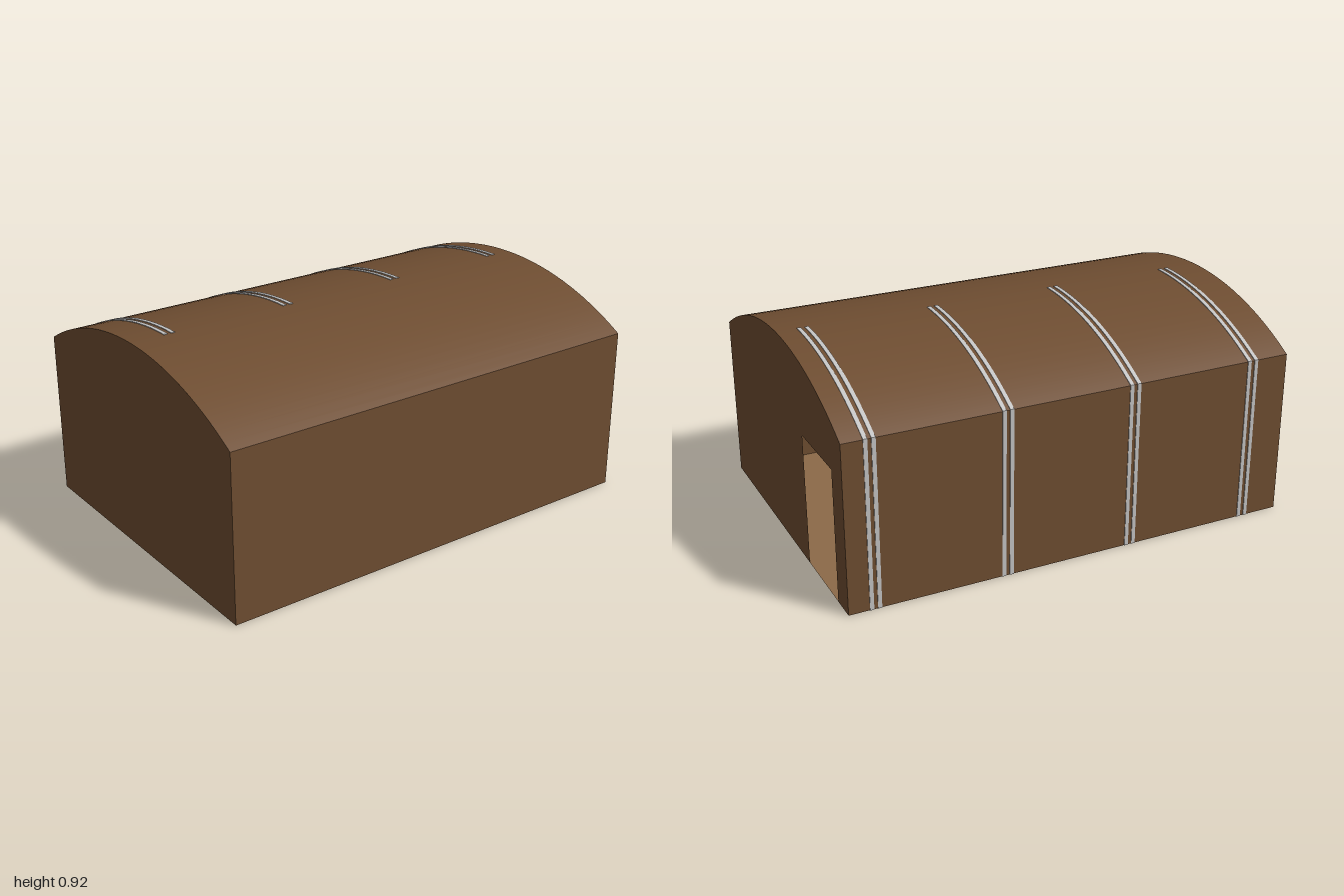
import * as THREE from 'three';

const HALF_L = 1, HALF_W = 0.713, EAVE = 0.727, RIDGE = 0.921;
const SAG = RIDGE - EAVE;
const R = (HALF_W ** 2 + SAG ** 2) / (2 * SAG);
const roofY = (z) => RIDGE - R + Math.sqrt(R * R - z * z);

const brown = new THREE.MeshStandardMaterial({ color: 0x6e4d31, side: THREE.DoubleSide });
brown.name = 'brown cladding';
const tan = new THREE.MeshStandardMaterial({ color: 0x8c6a48, side: THREE.DoubleSide });
tan.name = 'tan floor';
const grey = new THREE.MeshStandardMaterial({ color: 0xc4c4c4 });
grey.name = 'grey steel';

function add(parent, name, geometry, material) {
  const mesh = new THREE.Mesh(geometry, material);
  mesh.name = name;
  parent.add(mesh);
  return mesh;
}

// Arched end wall, drawn with u = -z, with an optional doorway
function endWall(door) {
  const pts = [[-HALF_W, 0]];
  if (door) pts.push([0.265, 0], [0.265, 0.575], [0.6, 0.575], [0.6, 0]);
  pts.push([HALF_W, 0]);
  for (let i = 0; i <= 32; i++) {
    const u = HALF_W * (1 - i / 16);
    pts.push([u, roofY(u)]);
  }
  const shape = new THREE.Shape(pts.map(([u, y]) => new THREE.Vector2(u, y)));
  return new THREE.ShapeGeometry(shape).rotateY(Math.PI / 2);
}

// Half of a portal frame plate: side 1 is the back, -1 the front
function framePlate(side, thickness) {
  const o = side * 0.003; // the back half stands just proud of the cladding
  const pts = [[HALF_W + o, 0]];
  for (let i = 0; i <= 20; i++) {
    const u = (HALF_W + o) * (1 - i / 20);
    pts.push([u, roofY(Math.min(u, HALF_W)) + o]);
  }
  const inner = new THREE.SplineCurve([
    [0, 0.81], [0.19, 0.795], [0.32, 0.765], [0.43, 0.725],
    [0.53, 0.665], [0.58, 0.575], [0.6, 0.515],
  ].map(([u, y]) => new THREE.Vector2(u, y)));
  inner.getPoints(20).forEach((p) => pts.push([p.x, p.y]));
  pts.push([0.63, 0]);
  const shape = new THREE.Shape(pts.map(([u, y]) => new THREE.Vector2(side * u, y)));
  // Lightening holes along the rafter
  for (let i = 0; i < 6; i++) {
    const u = 0.055 + i * 0.095;
    const hole = new THREE.Path();
    hole.absarc(side * u, roofY(u) - 0.06, 0.024, 0, Math.PI * 2, true);
    shape.holes.push(hole);
  }
  return new THREE.ExtrudeGeometry(shape, { depth: thickness, bevelEnabled: false, curveSegments: 8 })
    .rotateY(Math.PI / 2);
}

export function createModel() {
  const group = new THREE.Group();
  group.name = 'archedBarn';

  // Floor
  add(group, 'floor', new THREE.PlaneGeometry(2 * HALF_L, 2 * HALF_W).rotateX(-Math.PI / 2), tan);

  // Long side walls
  for (const side of [1, -1]) {
    const wall = add(group, side > 0 ? 'frontWall' : 'backWall',
      new THREE.PlaneGeometry(2 * HALF_L, EAVE), brown);
    wall.position.set(0, EAVE / 2, side * HALF_W);
    if (side < 0) wall.rotation.y = Math.PI;
  }

  // End walls, the left one with the doorway
  add(group, 'doorEndWall', endWall(true), brown).position.x = HALF_L;
  const plain = add(group, 'plainEndWall', endWall(false), brown);
  plain.position.x = -HALF_L;
  plain.rotation.y = Math.PI;

  // Barrel roof
  const a = Math.asin(HALF_W / R);
  const roof = new THREE.CylinderGeometry(R, R, 2 * HALF_L, 32, 1, true, Math.PI / 2 - a, 2 * a);
  add(group, 'roof', roof.rotateZ(Math.PI / 2), brown).position.y = RIDGE - R;

  // Four frames, each a pair of pierced steel plates
  const t = 0.017;
  const backPlate = framePlate(1, t), frontPlate = framePlate(-1, t);
  for (let i = 0; i < 4; i++) {
    const frame = new THREE.Group();
    frame.name = 'portalFrame' + (i + 1);
    frame.position.x = -0.826 + i * 0.571;
    for (const x of [-0.025, 0.025 - t]) {
      add(frame, 'backFramePlate', backPlate, grey).position.x = x;
      add(frame, 'frontFramePlate', frontPlate, grey).position.x = x;
    }
    group.add(frame);
  }
  return group;
}
